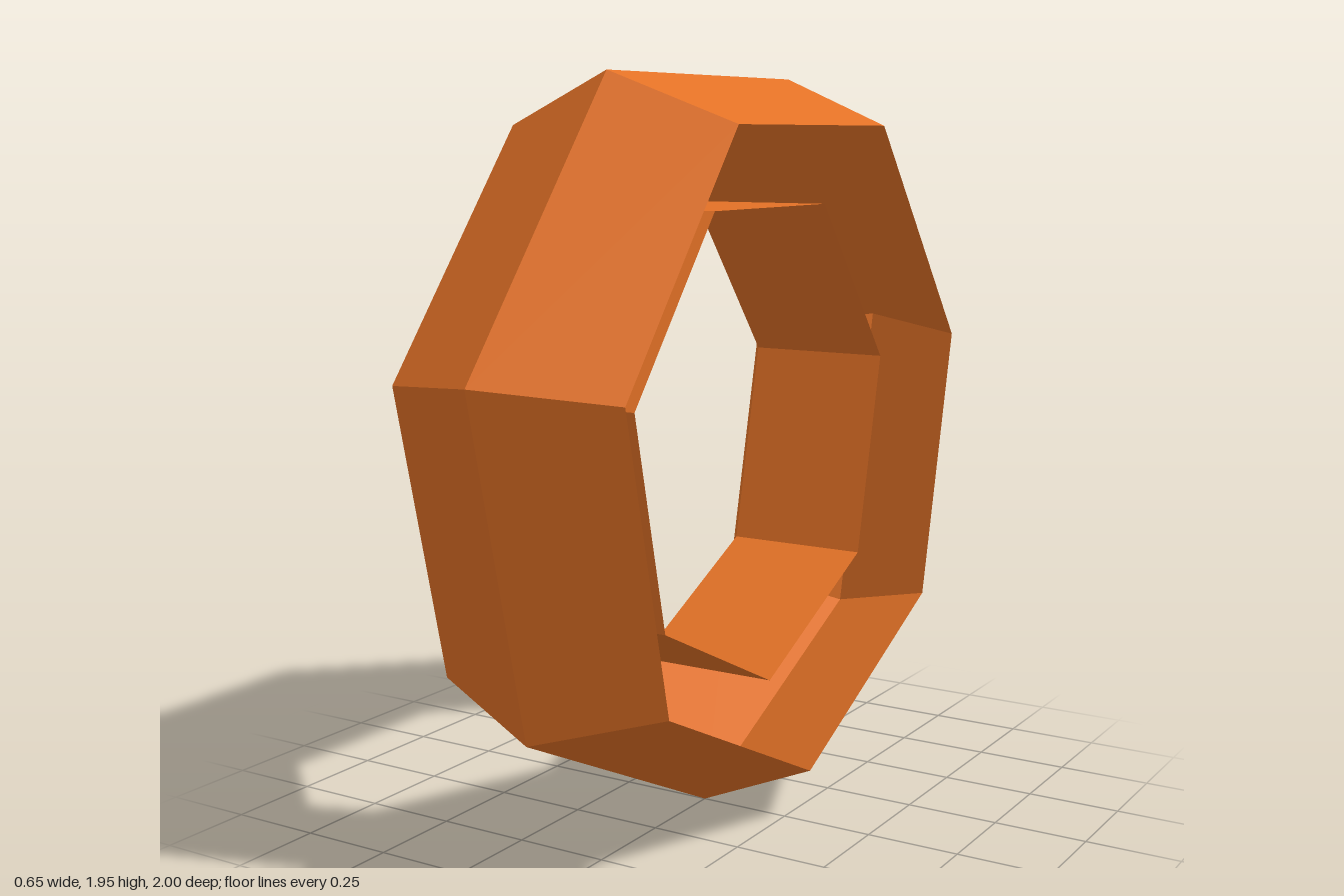
import * as THREE from 'three';

// Seven-sided ring around the x axis, with a faceted hollow tube section
// left open along one inner-side band on +x.
export function createModel() {
  const group = new THREE.Group();
  group.name = 'openRing';

  const orange = new THREE.MeshStandardMaterial({ color: 0xe27126 });
  orange.name = 'orange';
  orange.flatShading = true;
  orange.side = THREE.DoubleSide;

  // Cross-section as (radius, offset along the axis)
  const section = [
    [0.656, 0.202], // inner edge, open side
    [0.656, -0.202], // inner edge, closed side
    [0.884, -0.326], // closed-side corner
    [1.0257, 0], // outer ridge
    [0.884, 0.326], // open-side corner
  ].map(([r, x]) => new THREE.Vector2(r, x));

  // Start so that one corner points straight down
  const geometry = new THREE.LatheGeometry(section, 7, Math.PI / 2);
  geometry.rotateZ(-Math.PI / 2);
  geometry.translate(0, 1.0257, 0);

  const ring = new THREE.Mesh(geometry, orange);
  ring.name = 'ring';
  group.add(ring);
  return group;
}
